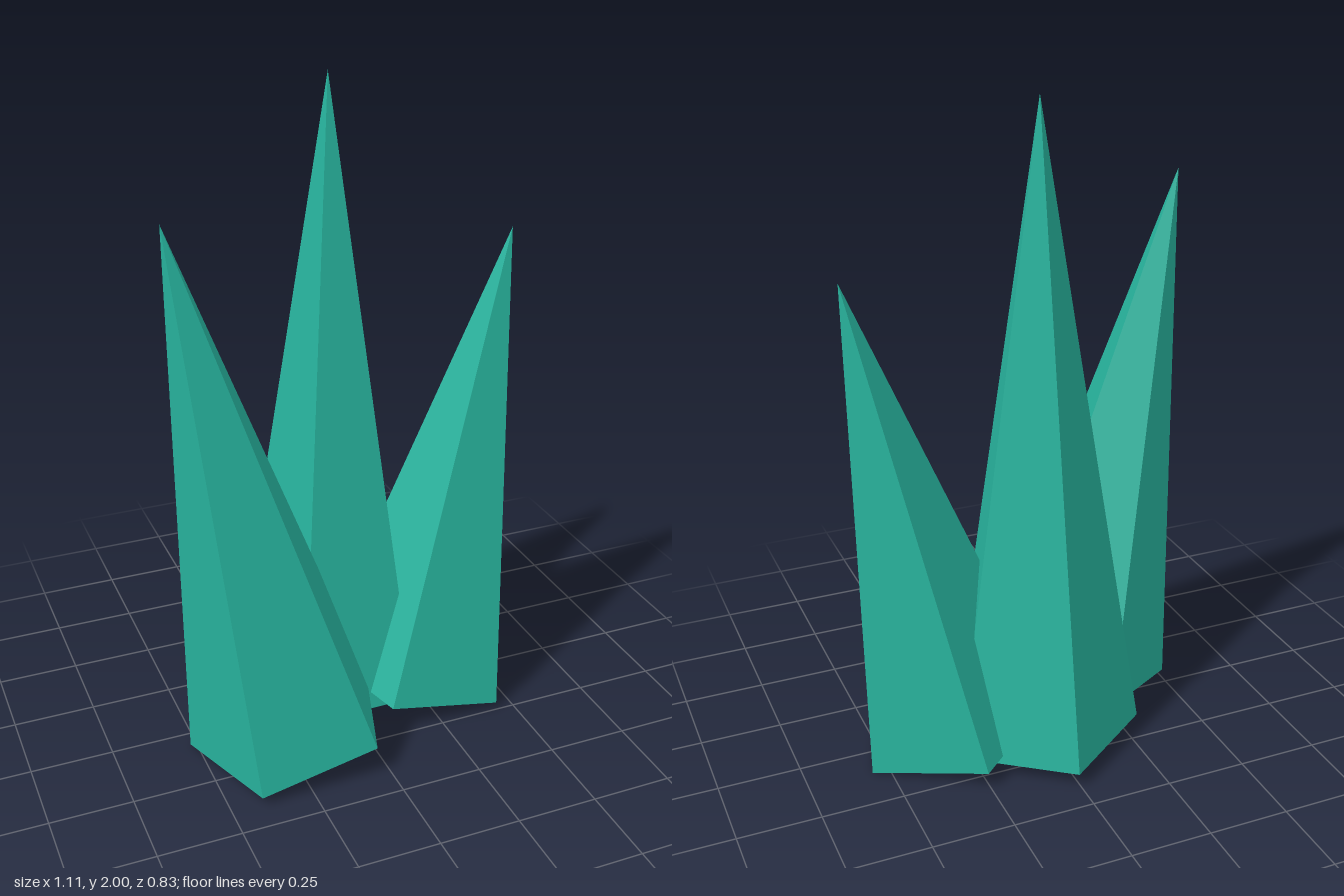
import * as THREE from 'three';

export function createModel() {
  const group = new THREE.Group();
  group.name = 'crystalCluster';
  const teal = new THREE.MeshStandardMaterial({ color: 0x27b29c, flatShading: true });
  teal.name = 'teal';

  // Five-sided spike with its base centre at the origin and a flat side facing the front
  const addSpike = (name, height, position, lean) => {
    const geometry = new THREE.ConeGeometry(0.314, height, 5)
      .rotateY(Math.PI)
      .translate(0, height / 2, 0);
    const mesh = new THREE.Mesh(geometry, teal);
    mesh.name = name;
    mesh.position.set(...position);
    mesh.rotation.z = lean;
    group.add(mesh);
  };

  addSpike('centreSpike', 1.95, [0.007, 0.05, -0.101], 0);
  addSpike('rightSpike', 1.665, [-0.227, 0.068, 0.158], 0.2);
  addSpike('leftSpike', 1.485, [0.26, 0.063, -0.008], -0.2);

  return group;
}
